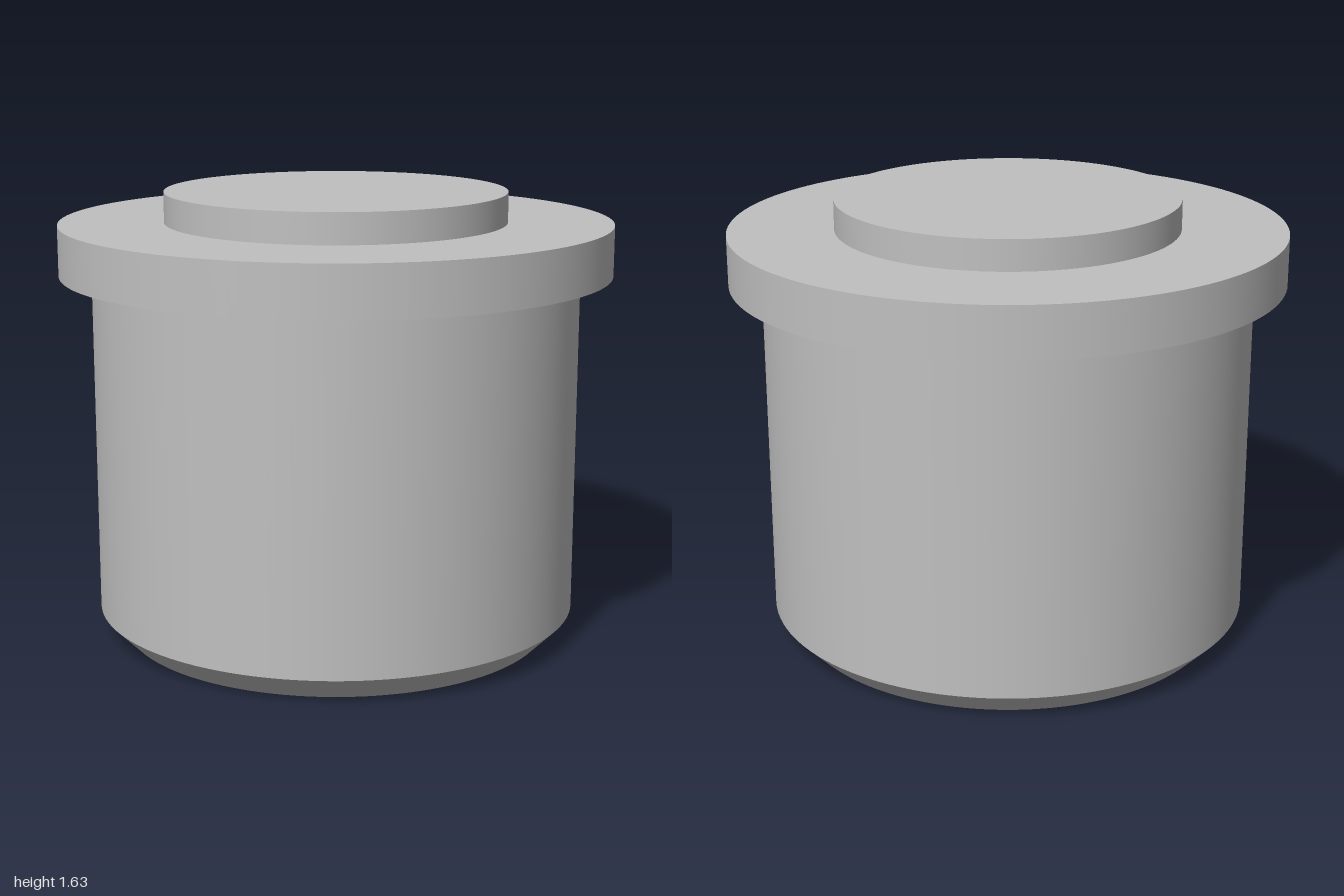
import * as THREE from 'three';
import { mergeGeometries } from 'three/addons/utils/BufferGeometryUtils.js';

const SEGMENTS = 128;

// Revolves each straight piece of a profile on its own, so the rims stay sharp.
function turned(profile) {
  const bands = [];
  for (let i = 0; i < profile.length - 1; i++) {
    const pair = [profile[i], profile[i + 1]].map(([r, y]) => new THREE.Vector2(r, y));
    const band = new THREE.LatheGeometry(pair, SEGMENTS);
    band.normalizeNormals();
    bands.push(band);
  }
  return mergeGeometries(bands);
}

export function createModel() {
  const group = new THREE.Group();
  group.name = 'flangedPlug';
  const grey = new THREE.MeshStandardMaterial({ color: 0xc0c0c0 });
  grey.name = 'plain grey';

  // Profiles run as [radius, height], from the bottom up.
  const parts = {
    // Cylinder with a chamfered foot and flat base
    body: [[0, 0], [0.79, 0], [0.883, 0.094], [0.883, 1.338]],
    // Wide collar, open where the body and the boss meet it
    flange: [[0.883, 1.338], [1, 1.338], [1, 1.52], [0.62, 1.52]],
    // Raised disc on top
    topBoss: [[0.62, 1.52], [0.62, 1.63], [0, 1.63]],
  };

  for (const [name, profile] of Object.entries(parts)) {
    const mesh = new THREE.Mesh(turned(profile), grey);
    mesh.name = name;
    group.add(mesh);
  }
  return group;
}
